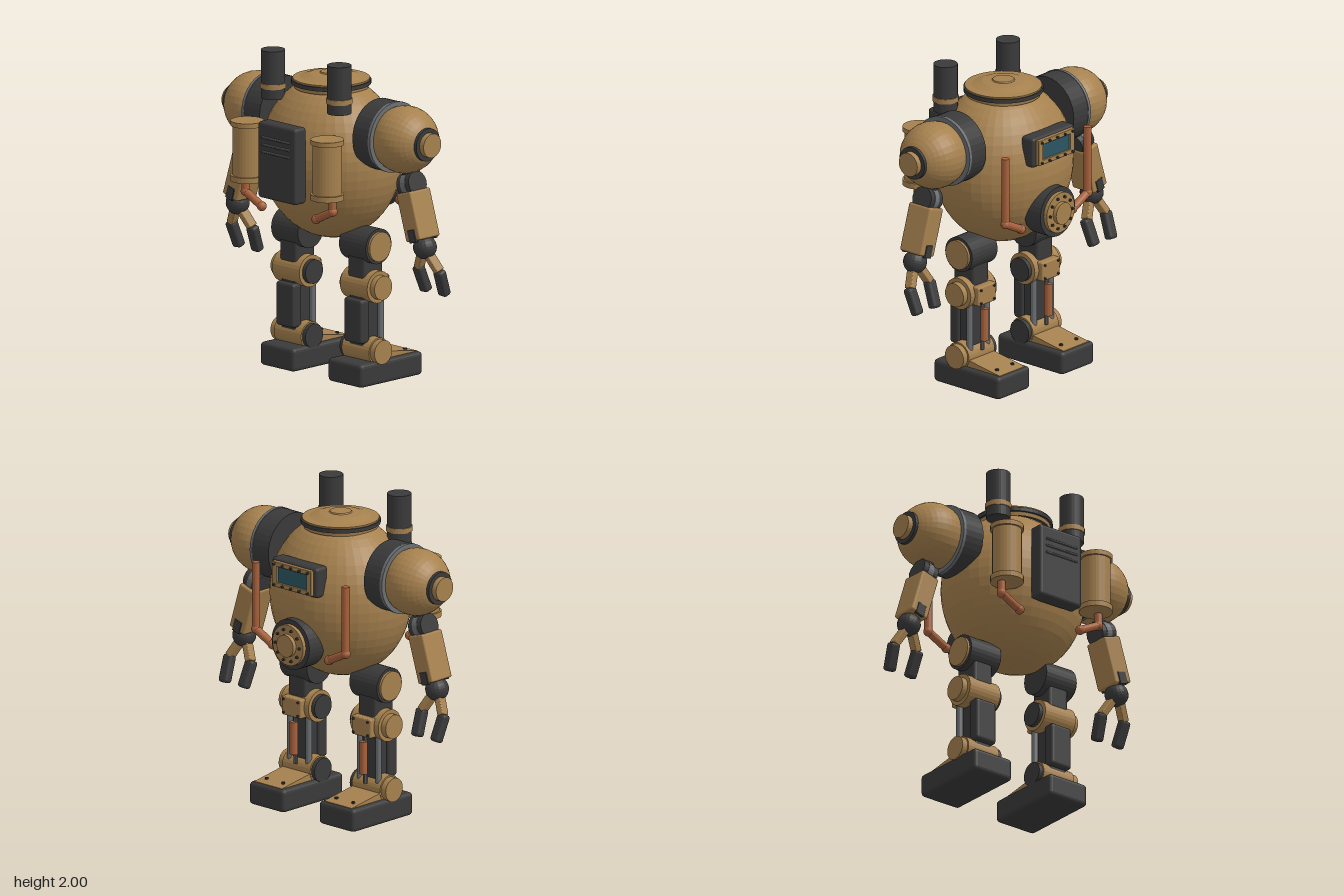
import * as THREE from 'three';
import { RoundedBoxGeometry } from 'three/addons/geometries/RoundedBoxGeometry.js';

const mat = (name, color) => {
  const m = new THREE.MeshStandardMaterial({ color });
  m.name = name;
  return m;
};

export function createModel() {
  const brass = mat('brass', 0xa6814e), dark = mat('dark iron', 0x3a3a3a), grey = mat('grey steel', 0x6c6f71);
  const copper = mat('copper', 0xa8623d), glass = mat('teal glass', 0x2b5662);
  const model = new THREE.Group();
  model.name = 'robot';

  // Faceted mesh added to a parent
  function add(parent, name, geometry, material, x = 0, y = 0, z = 0) {
    const g = geometry.index ? geometry.toNonIndexed() : geometry;
    g.computeVertexNormals();
    const m = new THREE.Mesh(g, material);
    m.name = name;
    m.position.set(x, y, z);
    parent.add(m);
    return m;
  }
  const group = (parent, name, x = 0, y = 0, z = 0) => {
    const g = new THREE.Group();
    g.name = name;
    g.position.set(x, y, z);
    parent.add(g);
    return g;
  };
  const ball = (r, w = 24, h = 16) => new THREE.SphereGeometry(r, w, h);
  const cyl = (r, h, n = 28) => new THREE.CylinderGeometry(r, r, h, n);
  const cylX = (r, h, n = 28) => cyl(r, h, n).rotateZ(Math.PI / 2);
  const cylZ = (r, h, n = 28) => cyl(r, h, n).rotateX(Math.PI / 2);
  const box = (w, h, d, r = 0.012) => new RoundedBoxGeometry(w, h, d, 2, r);

  // Straight pipe segments with ball joints
  function pipe(parent, name, points, r) {
    const p = points.map((a) => new THREE.Vector3(...a));
    for (let i = 1; i < p.length; i++) {
      const d = p[i].clone().sub(p[i - 1]);
      const mid = p[i].clone().add(p[i - 1]).multiplyScalar(0.5);
      const m = add(parent, name, cyl(r, d.length(), 14), copper, mid.x, mid.y, mid.z);
      m.quaternion.setFromUnitVectors(new THREE.Vector3(0, 1, 0), d.normalize());
      add(parent, name + 'Joint', ball(r * 1.2, 14, 10), copper, p[i].x, p[i].y, p[i].z);
    }
  }

  // Body and top hatch
  add(model, 'body', ball(1, 40, 26).scale(0.46, 0.5, 0.4), brass, 0, 1.35, 0);
  add(model, 'hatchSeal', cyl(0.243, 0.025, 40), dark, 0, 1.817, 0);
  const hatch = [[0.225, 1.78], [0.235, 1.84], [0.19, 1.845], [0.13, 1.865], [0.07, 1.87], [0.065, 1.877], [0, 1.877]];
  add(model, 'hatch', new THREE.LatheGeometry(hatch.map((a) => new THREE.Vector2(...a)), 40), brass);

  // Vented panel
  add(model, 'ventPanel', box(0.325, 0.475, 0.1, 0.02), dark, 0, 1.38, 0.42);
  for (const y of [1.435, 1.48, 1.525]) add(model, 'louver', box(0.24, 0.012, 0.02, 0.004), grey, 0, y, 0.471);

  // Visor
  const visor = group(model, 'visor', 0, 1.54, 0);
  add(visor, 'visorHousing', box(0.38, 0.19, 0.1, 0.02), dark, 0, 0, -0.36);
  for (const s of [-1, 1]) {
    add(visor, 'visorFrameRail', box(0.33, 0.03, 0.035, 0.005), brass, 0, s * 0.065, -0.417);
    add(visor, 'visorFrameSide', box(0.04, 0.15, 0.035, 0.005), brass, s * 0.145, 0, -0.417);
    for (let i = -2; i <= 2; i++) add(visor, 'visorBolt', cylZ(0.008, 0.02, 8), dark, i * 0.07, s * 0.065, -0.438);
  }
  add(visor, 'visorGlass', new THREE.BoxGeometry(0.255, 0.105, 0.008), glass, 0, 0, -0.417);

  // Round porthole
  const port = group(model, 'porthole', 0, 1.125, 0);
  add(port, 'portholeBase', cylZ(0.158, 0.13, 32), dark, 0, 0, -0.375);
  add(port, 'portholeFlange', cylZ(0.128, 0.03, 32), brass, 0, 0, -0.45);
  add(port, 'portholeHub', cylZ(0.07, 0.03, 28), brass, 0, 0, -0.475);
  for (let i = 0; i < 10; i++) {
    const a = (i / 10) * Math.PI * 2;
    add(port, 'portholeBolt', cylZ(0.009, 0.016, 8), dark, Math.cos(a) * 0.1, Math.sin(a) * 0.1, -0.469);
  }

  for (const s of [-1, 1]) {
    // Exhaust stack
    add(model, 'stack', cyl(0.074, 0.3), dark, s * 0.285, 1.85, 0.215);
    add(model, 'stackBand', cyl(0.08, 0.032), brass, s * 0.285, 1.779, 0.215);

    // Tank
    const tank = group(model, 'tank', s * 0.345, 0, 0.375);
    add(tank, 'tankBody', cyl(0.09, 0.36), brass, 0, 1.387, 0);
    add(tank, 'tankTopFlange', cyl(0.102, 0.03), brass, 0, 1.56, 0);
    add(tank, 'tankBottomFlange', cyl(0.102, 0.035), brass, 0, 1.218, 0);

    // Pipes
    pipe(model, 'tankPipe', [[s * 0.375, 1.22, 0.36], [s * 0.375, 1.125, 0.36], [s * 0.235, 1.055, 0.36]], 0.025);
    pipe(model, 'bodyPipe', [[s * 0.375, 1.55, -0.35], [s * 0.375, 1.125, -0.35], [s * 0.235, 1.055, -0.35]], 0.025);

    // Shoulder
    const shoulder = group(model, 'shoulder', 0, 1.56, 0);
    add(shoulder, 'shoulderCuff', cylX(0.216, 0.15, 36), dark, s * 0.475, 0, 0);
    add(shoulder, 'shoulderRing', cylX(0.219, 0.02, 36), grey, s * 0.543, 0, 0);
    add(shoulder, 'shoulderBall', ball(0.207, 32, 20).rotateZ(Math.PI / 2), brass, s * 0.635, 0, 0);
    add(shoulder, 'shoulderCapSeal', cylX(0.102, 0.05), dark, s * 0.81, 0, 0);
    add(shoulder, 'shoulderCap', cylX(0.075, 0.05), brass, s * 0.845, 0, 0);

    // Arm
    const arm = group(model, 'arm', s * 0.685, 1.31, 0);
    arm.rotation.z = s * 0.3;
    add(arm, 'elbowNeck', cyl(0.045, 0.12, 18), dark, 0, 0.03, 0);
    add(arm, 'elbowJoint', cylX(0.075, 0.11, 24), dark, 0, -0.02, 0);
    add(arm, 'elbowBand', cylX(0.078, 0.04, 24), grey, 0, -0.02, 0);
    add(arm, 'forearm', box(0.128, 0.3, 0.175, 0.012), brass, 0, -0.21, 0);
    for (const f of [-1, 1]) add(arm, 'wristBracket', box(0.06, 0.08, 0.02, 0.004), dark, 0, -0.33, f * 0.083);
    add(arm, 'wrist', ball(0.073, 20, 14), dark, 0, -0.41, 0);

    // Two-fingered claw
    const hand = group(model, 'claw', s * 0.805, 0.915, 0);
    for (const f of [-1, 1]) {
      const link = add(hand, 'fingerLink', box(0.045, 0.13, 0.06, 0.008), brass, f * 0.055, -0.085, -0.02);
      link.rotation.set(0.3, 0, f * 0.5);
      const tip = add(hand, 'fingerTip', box(0.07, 0.175, 0.06, 0.018), dark, f * 0.085, -0.215, -0.062);
      tip.rotation.set(0.36, 0, -f * 0.07);
    }

    // Leg: hip, knee and ankle turn about the x axis
    const leg = group(model, 'leg', s * 0.292, 0, 0);
    add(leg, 'hip', cylX(0.11, 0.23), dark, 0, 0.853, 0);
    add(leg, 'hipCap', cylX(0.092, 0.02), brass, s * 0.122, 0.853, 0);
    add(leg, 'thigh', box(0.145, 0.2, 0.165, 0.02), dark, 0, 0.74, 0);
    for (const [part, y, r] of [['knee', 0.6, 0.1], ['ankle', 0.2, 0.085]]) {
      add(leg, part, cylX(r, 0.235), brass, 0, y, 0);
      add(leg, part + 'OuterCap', cylX(0.075, 0.04), brass, s * 0.136, y, 0);
      add(leg, part + 'InnerCap', cylX(0.075, 0.03), dark, -s * 0.13, y, 0);
    }
    add(leg, 'kneePlate', box(0.16, 0.12, 0.07, 0.01), brass, 0, 0.595, -0.095);
    for (const bx of [-1, 1]) for (const by of [-1, 1]) {
      add(leg, 'kneeBolt', cylZ(0.008, 0.012, 8), dark, bx * 0.06, 0.595 + by * 0.042, -0.133);
    }
    add(leg, 'shin', box(0.12, 0.34, 0.135), dark, 0, 0.39, 0.01);
    add(leg, 'calf', box(0.155, 0.275, 0.08, 0.02), dark, 0, 0.388, 0.073);
    for (const f of [-1, 1]) add(leg, 'shinStrut', cyl(0.02, 0.34, 12), grey, f * 0.077, 0.39, -0.055);
    add(leg, 'shinPiston', cyl(0.025, 0.205, 14), copper, 0, 0.397, -0.105);
    add(leg, 'shinPistonRod', cyl(0.013, 0.34, 10), grey, 0, 0.4, -0.09);

    // Foot with sloped instep plate
    add(leg, 'foot', box(0.295, 0.145, 0.53, 0.025), dark, 0, 0.073, -0.085);
    const slope = new THREE.Shape([[0.0, 0.13], [0.33, 0.13], [0.33, 0.148], [0.07, 0.19], [0, 0.19]].map((a) => new THREE.Vector2(...a)));
    const instep = new THREE.ExtrudeGeometry(slope, { depth: 0.23, bevelEnabled: false });
    add(leg, 'instep', instep.translate(0, 0, -0.115).rotateY(Math.PI / 2), brass);
    for (const f of [-1, 1]) add(leg, 'instepBolt', cyl(0.011, 0.02, 8), dark, f * 0.07, 0.158, -0.27);
  }
  return model;
}
